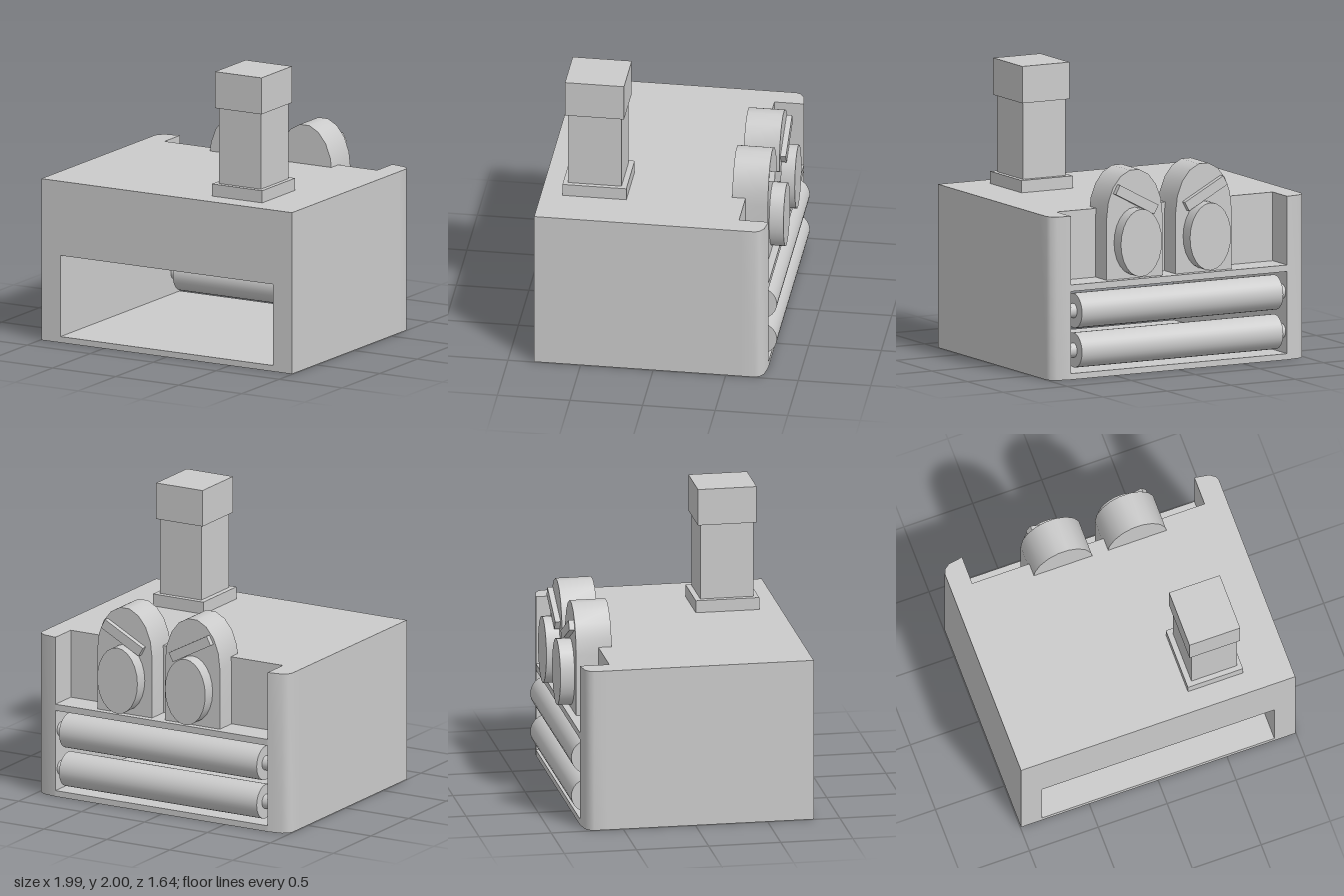
import * as THREE from 'three';
import { toCreasedNormals } from 'three/addons/utils/BufferGeometryUtils.js';

const material = new THREE.MeshStandardMaterial({ color: 0xcccccc });

function add(parent, name, geometry, x = 0, y = 0, z = 0) {
  const mesh = new THREE.Mesh(geometry, material);
  mesh.name = name;
  mesh.position.set(x, y, z);
  parent.add(mesh);
  return mesh;
}

// Straight extrusion of a 2D outline, smooth over gentle bends only
function extrude(points, depth) {
  const shape = new THREE.Shape(points.map(([u, v]) => new THREE.Vector2(u, v)));
  const geometry = new THREE.ExtrudeGeometry(shape, { depth, bevelEnabled: false });
  return toCreasedNormals(geometry, 0.6);
}

// Box given by its limits
function box(parent, name, [x0, x1], [y0, y1], [z0, z1]) {
  return add(parent, name, new THREE.BoxGeometry(x1 - x0, y1 - y0, z1 - z0),
    (x0 + x1) / 2, (y0 + y1) / 2, (z0 + z1) / 2);
}

const HALF = 0.995, INNER = 0.843, HEIGHT = 1.13, FRONT = 0.82, BACK = -0.773;

function createHousing() {
  const housing = new THREE.Group();
  housing.name = 'housing';

  // Side walls with rounded rear corners; outline is (x, -z)
  for (const s of [1, -1]) {
    const outline = [
      [INNER, -FRONT], [HALF, -FRONT], [HALF, 0.6], [HALF, 0.7],
      [0.982, 0.73], [0.945, 0.757], [INNER, -BACK],
    ].map(([x, v]) => [s * x, v]);
    const wall = extrude(outline, HEIGHT).rotateX(-Math.PI / 2);
    add(housing, s > 0 ? 'leftWall' : 'rightWall', wall);
  }

  // Roof block above the tunnel with the rear shelf; outline is (-z, y)
  const roof = extrude([
    [-FRONT, 0.61], [-BACK, 0.61], [-BACK, 0.655], [0.57, 0.655],
    [0.57, HEIGHT], [-FRONT, HEIGHT],
  ], INNER * 2).rotateY(Math.PI / 2);
  add(housing, 'roofAndShelf', roof, -INNER);

  box(housing, 'floor', [-INNER, INNER], [0, 0.042], [BACK, FRONT]);
  return housing;
}

// Thick roller on a thin axle, lying along x
function createRoller(y) {
  const roller = new THREE.Group();
  roller.name = 'roller';
  for (const [name, radius, length] of [['drum', 0.12, 1.57], ['axle', 0.05, INNER * 2]]) {
    add(roller, name, new THREE.CylinderGeometry(radius, radius, length, 32).rotateZ(Math.PI / 2));
  }
  roller.position.set(0, y, -0.702);
  return roller;
}

// Arched block with an oval disc and a tilted bar on its rear face
function createArchedUnit(x, tilt) {
  const unit = new THREE.Group();
  unit.name = 'archedUnit';
  const outline = [[-0.2175, 0.655], [0.2175, 0.655]];
  for (let i = 0; i <= 9; i++) {
    const a = (i / 9) * Math.PI;
    outline.push([0.2175 * Math.cos(a), 1.08 + 0.327 * Math.sin(a)]);
  }
  add(unit, 'archedBlock', extrude(outline, 0.247), 0, 0, -0.725);

  const disc = new THREE.CylinderGeometry(0.16, 0.16, 0.1, 24).rotateX(Math.PI / 2);
  add(unit, 'ovalDisc', disc.scale(1, 1.46, 1), 0, 0.91, -0.773);

  const bar = add(unit, 'tiltedBar', new THREE.BoxGeometry(0.34, 0.07, 0.05), 0, 1.2, -0.738);
  bar.rotation.z = tilt;
  unit.position.x = x;
  return unit;
}

export function createModel() {
  const model = new THREE.Group();
  model.name = 'rollerMachine';
  model.add(createHousing());
  for (const y of [0.463, 0.19]) model.add(createRoller(y));
  model.add(createArchedUnit(0.322, 0.49), createArchedUnit(-0.217, -0.49));

  // Square chimney
  const chimney = new THREE.Group();
  chimney.name = 'chimney';
  box(chimney, 'chimneyBase', [0.27, 0.67], [HEIGHT, 1.215], [0.232, 0.672]);
  box(chimney, 'chimneyShaft', [0.308, 0.638], [1.2, 1.76], [0.27, 0.637]);
  box(chimney, 'chimneyCap', [0.287, 0.655], [1.745, 2], [0.25, 0.657]);
  model.add(chimney);
  return model;
}
